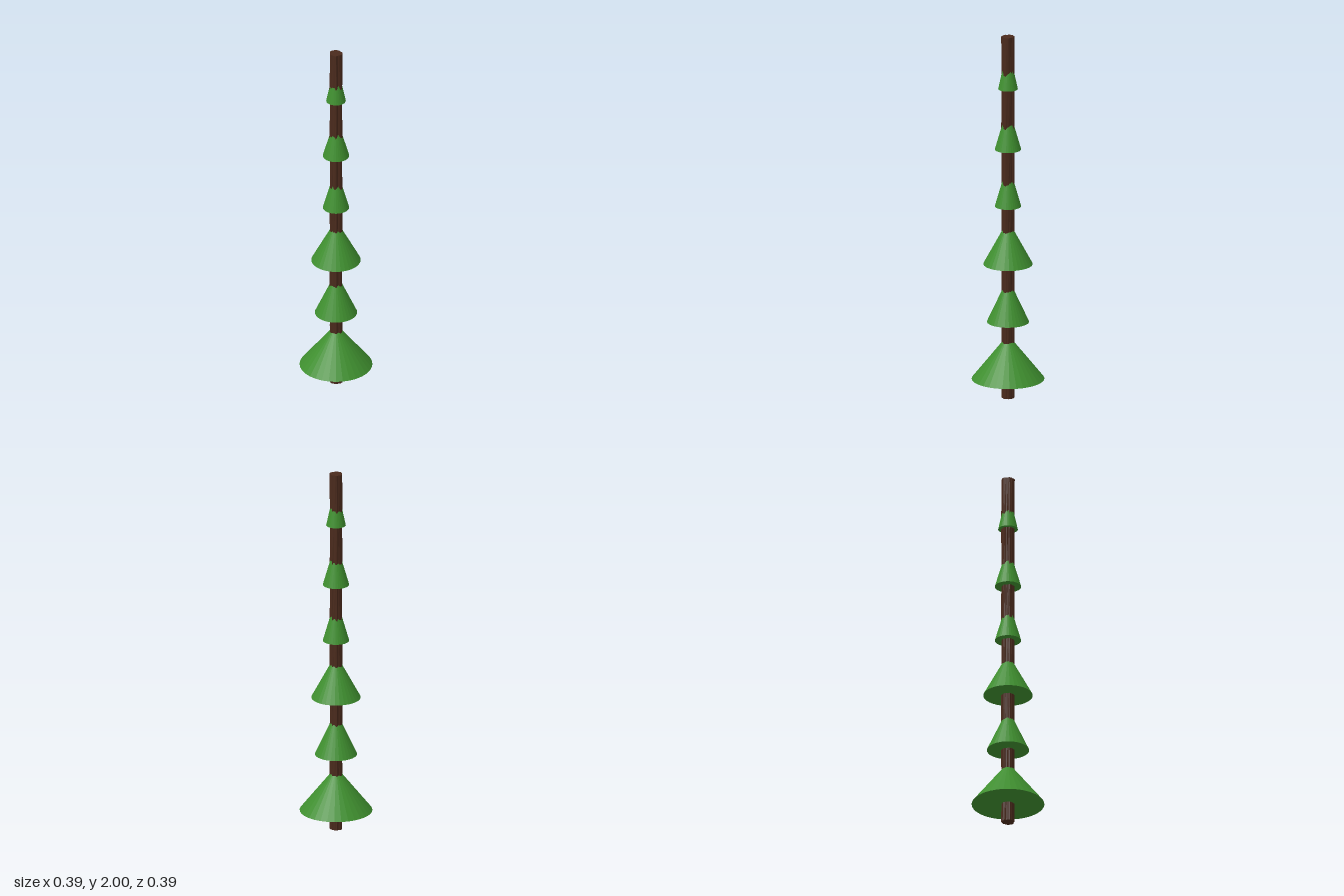
import * as THREE from 'three';

const SIDES = 32;

// Repeatable noise in 0..1
function noise(i, j) {
  const s = Math.sin(i * 127.1 + j * 311.7) * 43758.5453;
  return s - Math.floor(s);
}

// Cylinder whose vertices are pushed in and out into rough bark ridges
function barkGeometry(radius, height, rows) {
  const geo = new THREE.CylinderGeometry(radius, radius, height, SIDES, rows);
  geo.translate(0, height / 2, 0);
  const p = geo.attributes.position;
  for (let k = 0; k < p.count; k++) {
    const x = p.getX(k), z = p.getZ(k);
    if (Math.hypot(x, z) < radius / 2) continue; // cap centres
    const i = (Math.round(Math.atan2(x, z) / (2 * Math.PI) * SIDES) + SIDES) % SIDES;
    const j = Math.round(p.getY(k) / height * rows);
    const f = 0.86 + 0.19 * noise(i, 0) + 0.09 * noise(i, j + 1);
    p.setX(k, x * f);
    p.setZ(k, z * f);
  }
  geo.computeVertexNormals();
  return geo;
}

export function createModel() {
  const tree = new THREE.Group();
  tree.name = 'tree';
  const bark = new THREE.MeshStandardMaterial({ color: 0x4a2a1c, flatShading: true });
  const leaf = new THREE.MeshStandardMaterial({ color: 0x3f8f2f, flatShading: true });

  const trunk = new THREE.Mesh(barkGeometry(0.033, 2, 12), bark);
  trunk.name = 'trunk';
  tree.add(trunk);

  // Foliage cones threaded on the trunk: [base height, base radius]
  const tiers = [[0.105, 0.193], [0.42, 0.112], [0.74, 0.131], [1.06, 0.07], [1.375, 0.07], [1.71, 0.052]];
  const height = 0.243;
  tiers.forEach(([y, r], i) => {
    const cone = new THREE.Mesh(new THREE.ConeGeometry(r, height, SIDES), leaf);
    cone.position.y = y + height / 2;
    cone.name = `foliageTier${i + 1}`;
    tree.add(cone);
  });
  return tree;
}
